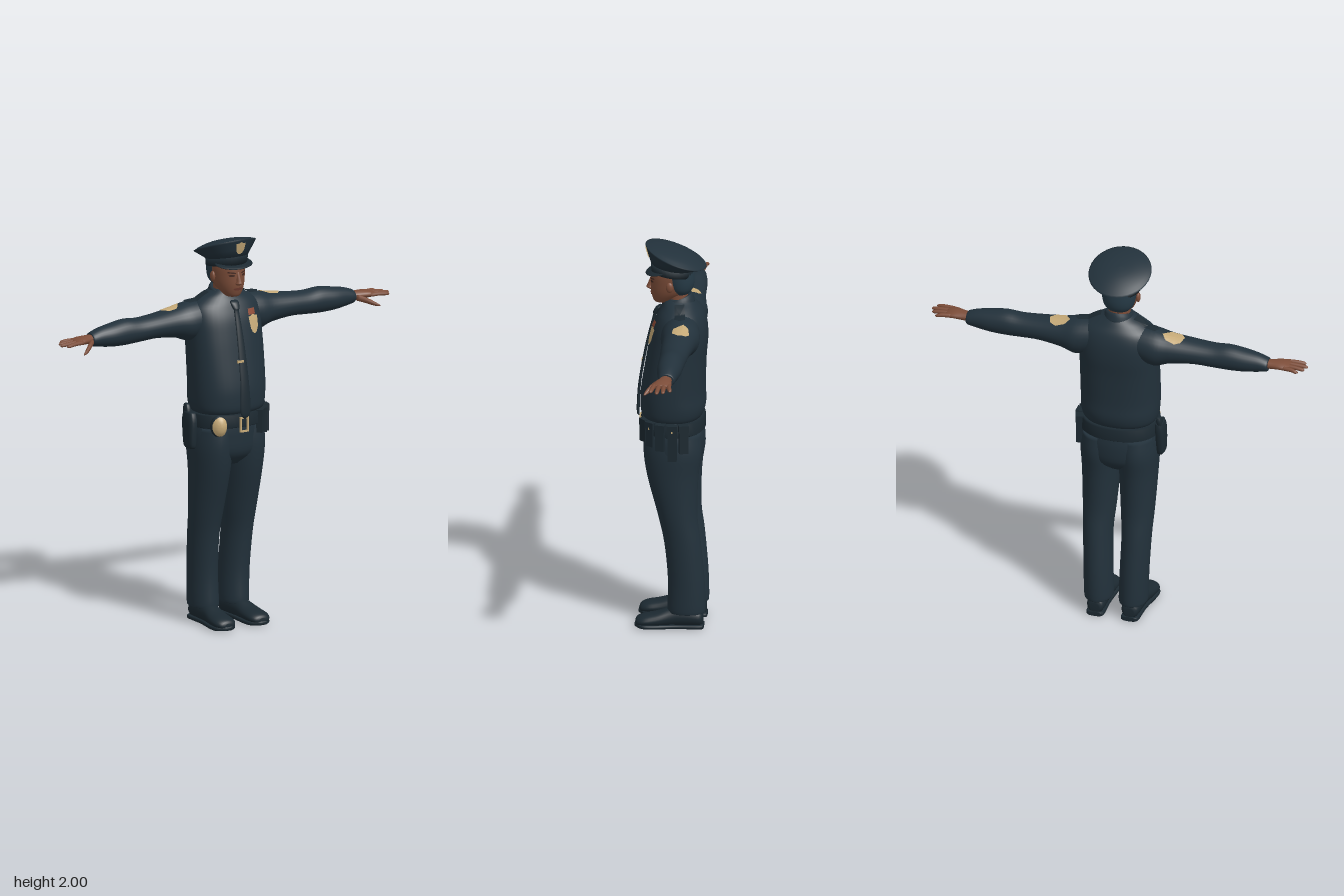
import * as THREE from 'three';

const mat = (name, color, side = THREE.FrontSide) => {
  const m = new THREE.MeshStandardMaterial({ color, side });
  m.name = name;
  return m;
};

// Loft of superelliptic rings along an axis.
// Row: [t, u, v, ru, rv, power, tilt]; (u, v) is (z,x) on y, (y,z) on x, (x,y) on z.
function loft(rows, axis, segs = 28, sub = 4) {
  const full = rows.map(r => [...r.slice(0, 5), r[5] ?? 2, r[6] ?? 0]);
  const rings = [];
  for (let i = 0; i < full.length - 1; i++) {
    const [a, b, c, d] = [-1, 0, 1, 2].map(k => full[Math.min(Math.max(i + k, 0), full.length - 1)]);
    for (let s = 0; s < sub; s++) {
      const f = s / sub;
      rings.push(b.map((q, k) => q + 0.5 * f * (c[k] - a[k] +
        f * (2 * a[k] - 5 * q + 4 * c[k] - d[k] + f * (3 * (q - c[k]) + d[k] - a[k])))));
    }
  }
  rings.push(full[full.length - 1]);
  const pos = [], idx = [];
  const put = (t, u, v) => pos.push(...(axis === 'y' ? [v, t, u] : axis === 'x' ? [t, u, v] : [u, v, t]));
  const bend = (n, p) => Math.sign(n) * Math.abs(n) ** (2 / p);
  rings.forEach(([t, u, v, ru, rv, p, tilt], i) => {
    for (let j = 0; j < segs; j++) {
      const th = j / segs * Math.PI * 2, du = ru * bend(Math.cos(th), p);
      put(t + tilt * du, u + du, v + rv * bend(Math.sin(th), p));
      if (i === rings.length - 1) continue;
      const A = i * segs + j, B = i * segs + (j + 1) % segs;
      idx.push(A, B, A + segs, B, B + segs, A + segs);
    }
  });
  const n = rings.length * segs, last = n - segs;
  put(...rings[0]);
  put(...rings[rings.length - 1]);
  pos.length = (n + 2) * 3;
  for (let j = 0; j < segs; j++) {
    const k = (j + 1) % segs;
    idx.push(n, k, j, n + 1, last + j, last + k);
  }
  const g = new THREE.BufferGeometry();
  g.setAttribute('position', new THREE.Float32BufferAttribute(pos, 3));
  g.setIndex(idx);
  g.computeVertexNormals();
  return g;
}

function mirrored(geo) {
  const g = geo.clone().scale(-1, 1, 1), a = g.index.array;
  for (let i = 0; i < a.length; i += 3) [a[i], a[i + 1]] = [a[i + 1], a[i]];
  g.computeVertexNormals();
  return g;
}

// Thin patch draped on target meshes, cast along -z ('front') or -y ('top').
function drape(outline, targets, from, lift = 0.004) {
  const pts = new THREE.Shape(outline.map(p => new THREE.Vector2(...p))).getSpacedPoints(40).slice(0, 40);
  const mid = pts.reduce((s, p) => s.add(p), new THREE.Vector2()).divideScalar(pts.length);
  const pos = [], idx = [], N = pts.length, rings = 4;
  const ray = new THREE.Raycaster(), dir = from === 'front' ? new THREE.Vector3(0, 0, -1) : new THREE.Vector3(0, -1, 0);
  let depth = 0;
  for (let r = 0; r <= rings; r++) for (let j = 0; j < N; j++) {
    const p = mid.clone().lerp(pts[j], r / rings);
    ray.set(from === 'front' ? new THREE.Vector3(p.x, p.y, 3) : new THREE.Vector3(p.x, 3, p.y), dir);
    const hit = ray.intersectObjects(targets, false)[0];
    if (hit) depth = (from === 'front' ? hit.point.z : hit.point.y) + lift;
    pos.push(...(from === 'front' ? [p.x, p.y, depth] : [p.x, depth, p.y]));
    if (r < rings) {
      const a = r * N + j, b = r * N + (j + 1) % N;
      idx.push(a, a + N, b, b, a + N, b + N);
    }
  }
  const g = new THREE.BufferGeometry();
  g.setAttribute('position', new THREE.Float32BufferAttribute(pos, 3));
  g.setIndex(idx);
  g.computeVertexNormals();
  return g;
}

const oval = (cx, cy, rx, ry) => Array.from({ length: 24 }, (_, i) =>
  [cx + rx * Math.cos(i * Math.PI / 12), cy + ry * Math.sin(i * Math.PI / 12)]);
const shield = (cx, cy, w, h) => [[-1, .75], [-.4, .8], [0, 1], [.4, .8], [1, .75], [.9, -.3], [.5, -.8], [0, -1], [-.5, -.8], [-.9, -.3]]
  .map(([a, b]) => [cx + a * w, cy + b * h]);

export function createModel() {
  const root = new THREE.Group();
  root.name = 'uniformedOfficer';
  const D = THREE.DoubleSide;
  const navy = mat('navyCloth', 0x22313b), dark = mat('darkLeather', 0x1c2931, D), skin = mat('skin', 0x7c4d39),
    hairM = mat('hair', 0x263a46), tan = mat('brass', 0xc6aa78, D), red = mat('ribbonRed', 0x8c4a36, D),
    shade = mat('faceShade', 0x452a22, D), lip = mat('lips', 0x6b3a2f, D);
  const add = (name, geo, m) => {
    const mesh = new THREE.Mesh(geo, m);
    mesh.name = name;
    root.add(mesh);
    return mesh;
  };
  const both = (name, geo, m) => [add('left' + name, geo, m), add('right' + name, mirrored(geo), m)];
  const box = (w, h, d, x, y, z, ry = 0) => new THREE.BoxGeometry(w, h, d).rotateY(ry).translate(x, y, z);

  // Shirt
  const torso = add('shirt', loft([
    [1.095, -.005, 0, .135, .172, 2.2], [1.12, -.003, 0, .155, .19, 2.3], [1.17, -.006, 0, .163, .198, 2.3],
    [1.25, -.006, 0, .16, .2, 2.3], [1.4, -.02, 0, .15, .2, 2.4], [1.5, -.033, 0, .145, .2, 2.4],
    [1.58, -.04, 0, .134, .2, 2.3], [1.64, -.043, 0, .113, .185, 2.2], [1.68, -.04, 0, .09, .135, 2],
    [1.705, -.035, 0, .075, .085, 2], [1.72, -.033, 0, .06, .06, 2]], 'y', 40), navy);
  const sleeves = both('Sleeve', loft([
    [.1, 1.585, -.055, .085, .09], [.2, 1.567, -.06, .098, .098], [.28, 1.57, -.06, .077, .085],
    [.4, 1.57, -.055, .062, .074], [.5, 1.565, -.053, .061, .067], [.58, 1.566, -.052, .066, .064],
    [.66, 1.562, -.05, .059, .06], [.73, 1.56, -.05, .048, .049], [.775, 1.557, -.05, .036, .042],
    [.785, 1.557, -.05, .03, .036]], 'x'), navy);

  // Hands with four fingers and a thumb
  both('Palm', loft([[.75, 1.557, -.05, .024, .028], [.8, 1.56, -.045, .022, .033],
    [.85, 1.562, -.038, .02, .045], [.885, 1.56, -.036, .014, .046], [.895, 1.56, -.036, .008, .04]], 'x', 16), skin);
  [[-.07, .945, -.082], [-.046, .97, -.05], [-.023, .98, -.02], [0, .962, .012]].forEach(([z, tip, zt], i) =>
    both('Finger' + (i + 1), loft([[.86, 1.561, z, .011, .012], [.91, 1.561, (z + zt) / 2, .01, .0115],
      [tip - .012, 1.557, zt, .0085, .01], [tip, 1.556, zt, .002, .003]], 'x', 10, 3), skin));
  both('Thumb', loft([[.79, 1.552, -.02, .016, .016], [.825, 1.54, .01, .015, .016],
    [.86, 1.523, .036, .011, .012], [.885, 1.513, .05, .003, .004]], 'x', 10, 3), skin);

  // Trousers
  add('trouserSeat', loft([[.83, -.012, 0, .08, .1], [.89, -.012, 0, .14, .186], [.98, -.012, 0, .153, .2],
    [1.05, -.008, 0, .15, .193], [1.12, -.005, 0, .14, .18]], 'y', 36), navy);
  both('TrouserLeg', loft([[.085, -.08, .09, .088, .066], [.1, -.08, .09, .096, .073], [.25, -.08, .094, .092, .073],
    [.45, -.062, .1, .092, .075], [.6, -.037, .099, .099, .085], [.8, -.013, .097, .128, .096],
    [.93, -.012, .097, .146, .102], [1.03, -.01, .09, .14, .1]], 'y'), navy);

  // Shoes
  both('Shoe', loft([[-.163, .09, .045, .025, .025], [-.145, .09, .055, .044, .045], [-.07, .092, .062, .05, .055],
    [.0, .095, .055, .05, .05], [.07, .1, .043, .058, .038], [.13, .102, .036, .06, .031],
    [.163, .102, .031, .044, .023], [.173, .102, .028, .02, .012]], 'z', 24), dark);
  both('Sole', loft([[-.167, .09, .012, .025, .012, 4], [-.15, .09, .012, .046, .012, 4], [-.03, .094, .012, .048, .012, 4],
    [.08, .1, .012, .062, .012, 4], [.14, .102, .013, .06, .012, 4], [.177, .102, .015, .022, .009, 4]], 'z', 20), dark);

  // Duty belt with buckle, keepers and pouches
  add('belt', loft([[1.035, -.008, 0, .154, .196, 2.2], [1.04, -.008, 0, .16, .202, 2.2],
    [1.1, -.006, 0, .16, .2, 2.2], [1.105, -.006, 0, .15, .19, 2.2]], 'y', 40, 1), dark);
  for (const [y, w, h] of [[1.086, .046, .009], [1.016, .046, .009]]) add('buckleBar', box(w, h, .009, 0, y, .158), tan);
  for (const x of [-.02, .02]) add('buckleSide', box(.009, .078, .009, x, 1.051, .158), tan);
  [[.115, .125, .11, .75], [.16, .09, .12, 1], [.197, .04, .13, 1.35], [.205, -.02, .18, 1.57], [.195, -.075, .14, 1.85]]
    .forEach(([x, z, h, ry], i) => {
      add('pouch' + (i + 1), box(.045, h, .035, x, 1.1 - h / 2, z, ry), dark);
      add('pouchFlap' + (i + 1), box(.05, .035, .04, x, 1.09, z, ry), dark);
      if (i % 2) add('pouchStud', box(.006, .012, .042, x, 1.075, z, ry), tan);
    });
  const cuff = add('roundPouch', new THREE.SphereGeometry(1, 20, 14).scale(.042, .055, .028).rotateY(-.65).translate(-.132, 1.052, .125), dark);
  add('roundPouchFace', drape(oval(-.132, 1.052, .036, .05), [cuff], 'front'), tan);
  add('holster', loft([[.925, -.01, -.212, .032, .016, 3], [.95, -.01, -.215, .042, .021, 3],
    [1.06, -.015, -.212, .05, .024, 3], [1.11, -.02, -.208, .04, .02, 3]], 'y', 20), dark);
  add('holsterGrip', loft([[1.07, -.03, -.215, .022, .014, 3], [1.12, -.04, -.212, .024, .014, 3],
    [1.145, -.045, -.21, .015, .01, 3]], 'y', 14), dark);

  // Collar, tie and epaulettes
  add('collar', loft([[1.672, -.028, 0, .088, .085, 2, -.25], [1.7, -.03, 0, .078, .076, 2, -.28],
    [1.722, -.03, 0, .068, .068, 2, -.3], [1.718, -.03, 0, .056, .058, 2, -.3]], 'y', 32, 2), navy);
  both('CollarPoint', drape([[.008, 1.672], [.04, 1.69], [.062, 1.645], [.04, 1.615]], [torso], 'front', .008), navy);
  add('tie', loft([[1.083, .166, 0, .003, .003], [1.115, .171, 0, .007, .029], [1.25, .164, 0, .007, .026],
    [1.4, .14, 0, .007, .022], [1.52, .115, 0, .007, .018], [1.62, .088, 0, .008, .014],
    [1.632, .085, 0, .013, .018], [1.66, .07, 0, .013, .024], [1.67, .06, 0, .005, .018]], 'y', 16), dark);
  add('tieClip', box(.036, .012, .009, -.018, 1.375, .15), tan);
  both('Epaulette', drape([[.085, -.07], [.2, -.085], [.22, -.06], [.2, -.03], [.085, -.02]], [torso, ...sleeves], 'top', .007), dark);

  // Badges and shoulder patches
  add('chestBadge', drape(shield(.098, 1.545, .031, .05), [torso], 'front', .008), tan);
  add('ribbonBar', drape([[.068, 1.59], [.115, 1.59], [.115, 1.62], [.068, 1.62]], [torso], 'front', .009), red);
  both('ShoulderPatch', drape([[.24, -.08], [.262, -.108], [.31, -.115], [.34, -.1], [.352, -.06], [.325, -.03], [.27, -.032]],
    [torso, ...sleeves], 'top'), tan);

  // Neck, head and face
  add('neck', loft([[1.66, -.03, 0, .055, .055], [1.73, -.025, 0, .055, .056], [1.78, -.02, 0, .058, .06]], 'y', 24), skin);
  const head = add('head', loft([[1.69, .05, 0, .02, .02], [1.698, .048, 0, .042, .038], [1.72, .036, 0, .064, .056],
    [1.755, .012, 0, .095, .073], [1.8, .003, 0, .104, .081], [1.85, 0, 0, .104, .083], [1.9, -.005, 0, .09, .075]], 'y', 32), skin);
  add('nose', loft([[1.757, .1, 0, .012, .012], [1.766, .107, 0, .022, .018], [1.78, .107, 0, .018, .012],
    [1.825, .097, 0, .01, .008]], 'y', 14), skin);
  add('hair', loft([[1.745, -.045, 0, .042, .055], [1.77, -.04, 0, .064, .076], [1.81, -.036, 0, .076, .086],
    [1.87, -.03, 0, .08, .09]], 'y', 28), hairM);
  both('Ear', new THREE.SphereGeometry(1, 14, 10).scale(.011, .027, .018).translate(.088, 1.795, .005), skin);
  both('Eye', drape(oval(.034, 1.808, .014, .006), [head], 'front', .003), shade);
  both('Brow', drape([[.014, 1.823], [.05, 1.828], [.056, 1.822], [.016, 1.817]], [head], 'front', .004), shade);
  add('mouth', drape(oval(0, 1.737, .026, .007), [head], 'front', .003), lip);

  // Peaked cap
  add('capBand', loft([[1.848, -.002, 0, .107, .104, 2, .12], [1.888, -.002, 0, .109, .106, 2, .16]], 'y', 36, 1), dark);
  const crown = add('capCrown', loft([[1.884, -.002, 0, .108, .105, 2, .16], [1.934, -.018, 0, .149, .154, 2, .37],
    [1.942, -.018, 0, .147, .152, 2, .37], [1.957, -.018, 0, .11, .115, 2, .35], [1.968, -.018, 0, .06, .06, 2, .32],
    [1.971, -.018, 0, .004, .004, 2, .3]], 'y', 36, 2), navy);
  add('capVisor', new THREE.SphereGeometry(1, 28, 12).scale(.104, .009, .075).rotateX(.22).translate(0, 1.862, .06), dark);
  add('capBadge', drape(shield(0, 1.952, .027, .034), [crown], 'front', .005), tan);
  return root;
}
